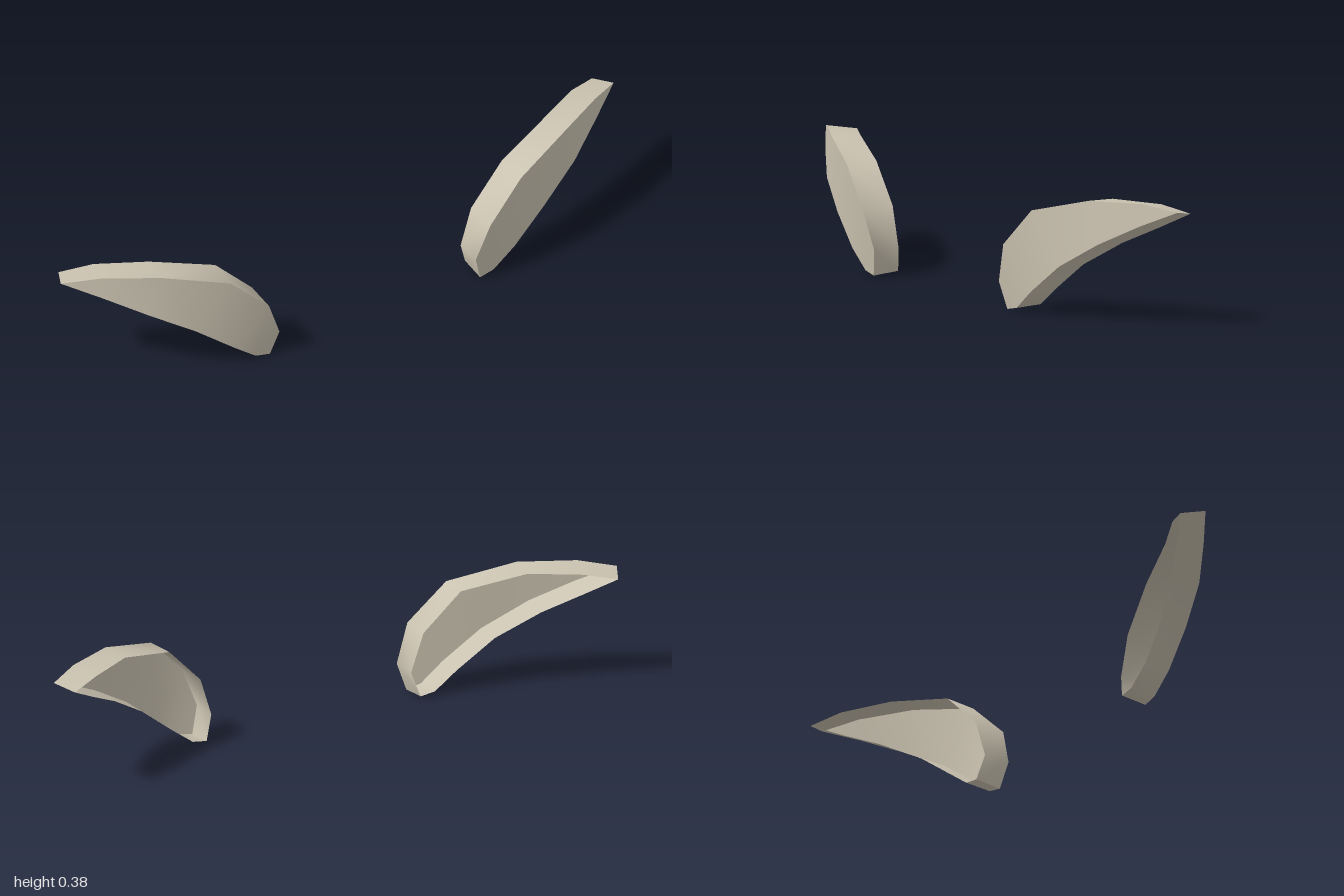
import * as THREE from 'three';
import { toCreasedNormals } from 'three/addons/utils/BufferGeometryUtils.js';

// Each rim station: front corner [x, y, z], then the matching open back corner.
const base = [[0.38, 0, 0.135], [0.38, 0.007, 0.045]];
const tip = [[1, 0.366, -0.09], [0.965, 0.352, -0.161]];
const lower = [
  [[0.43, 0.01, 0.133], [0.43, 0.014, 0.044]],
  [[0.507, 0.07, 0.132], [0.507, 0.07, 0.042]],
  [[0.63, 0.164, 0.107], [0.627, 0.163, 0.015]],
  [[0.77, 0.247, 0.055], [0.757, 0.243, -0.045]],
  [[0.895, 0.315, -0.02], [0.87, 0.3, -0.105]],
];
const upper = [
  [[0.355, 0.085, 0.15], [0.355, 0.085, 0.06]],
  [[0.4, 0.208, 0.163], [0.396, 0.21, 0.055]],
  [[0.525, 0.329, 0.14], [0.518, 0.332, 0.036]],
  [[0.73, 0.38, 0.062], [0.715, 0.376, -0.035]],
  [[0.895, 0.384, -0.028], [0.865, 0.372, -0.118]],
];

function buildShell(side) {
  const positions = [];
  // Mirrored shells reverse the corner order so they still face outward.
  const tri = (a, b, c) => {
    for (const p of side > 0 ? [a, b, c] : [a, c, b]) positions.push(side * p[0], p[1], p[2]);
  };
  const quad = (a, b, c, d) => { tri(a, b, c); tri(a, c, d); };

  // curved front face, in strips from the inner end to the tip
  tri(base[0], lower[0][0], upper[0][0]);
  for (let i = 0; i < lower.length - 1; i++) {
    quad(lower[i][0], lower[i + 1][0], upper[i + 1][0], upper[i][0]);
  }
  tri(lower.at(-1)[0], tip[0], upper.at(-1)[0]);

  // side wall around the rim; the back stays open
  const rim = [base, ...lower, tip, ...[...upper].reverse()];
  rim.forEach(([a, aBack], i) => {
    const [b, bBack] = rim[(i + 1) % rim.length];
    quad(a, aBack, bBack, b);
  });

  const geometry = new THREE.BufferGeometry();
  geometry.setAttribute('position', new THREE.Float32BufferAttribute(positions, 3));
  return toCreasedNormals(geometry, THREE.MathUtils.degToRad(40));
}

export function createModel() {
  const group = new THREE.Group();
  group.name = 'curvedShellPair';
  const beige = new THREE.MeshStandardMaterial({ color: 0xcac2b0, side: THREE.DoubleSide });
  beige.name = 'warm beige';

  for (const [name, side] of [['leftShell', 1], ['rightShell', -1]]) {
    const shell = new THREE.Mesh(buildShell(side), beige);
    shell.name = name;
    group.add(shell);
  }
  return group;
}
